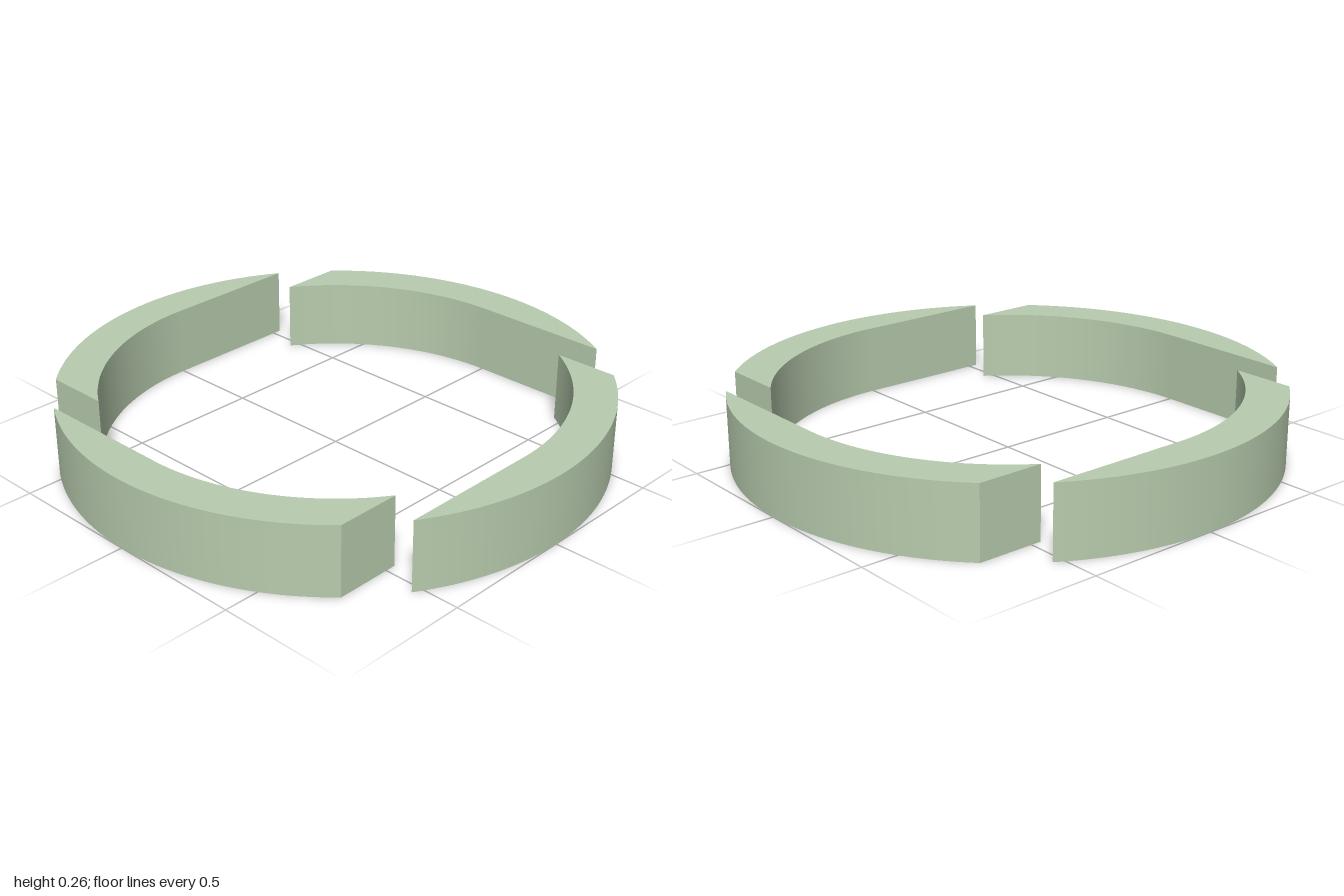
import * as THREE from 'three';
import { toCreasedNormals } from 'three/addons/utils/BufferGeometryUtils.js';

const OUTER = 1, INNER = 0.845, HEIGHT = 0.262;

// Plan of one blade: a ring piece cut square at one end, with a straight taper to a point at the other
function bladeShape() {
  const cut = Math.SQRT1_2;
  const tipAngle = Math.asin(INNER / OUTER);
  const shape = new THREE.Shape();
  shape.moveTo(-cut, cut);
  shape.absarc(0, 0, OUTER, Math.PI * 0.75, tipAngle, true);
  shape.lineTo(0, INNER);
  shape.absarc(0, 0, INNER, Math.PI / 2, Math.acos(-cut / INNER), false);
  shape.closePath();
  return shape;
}

export function createModel() {
  const group = new THREE.Group();
  group.name = 'segmentedRing';
  const material = new THREE.MeshStandardMaterial({ color: 0xb8ccae });

  let geometry = new THREE.ExtrudeGeometry(bladeShape(), {
    depth: HEIGHT, bevelEnabled: false, curveSegments: 48,
  });
  geometry.rotateX(-Math.PI / 2);
  geometry = toCreasedNormals(geometry, Math.PI / 6);

  // Four identical blades, a quarter turn apart
  ['back', 'left', 'front', 'right'].forEach((side, i) => {
    const blade = new THREE.Mesh(geometry, material);
    blade.name = side + 'Blade';
    blade.rotation.y = -i * Math.PI / 2;
    group.add(blade);
  });
  return group;
}
